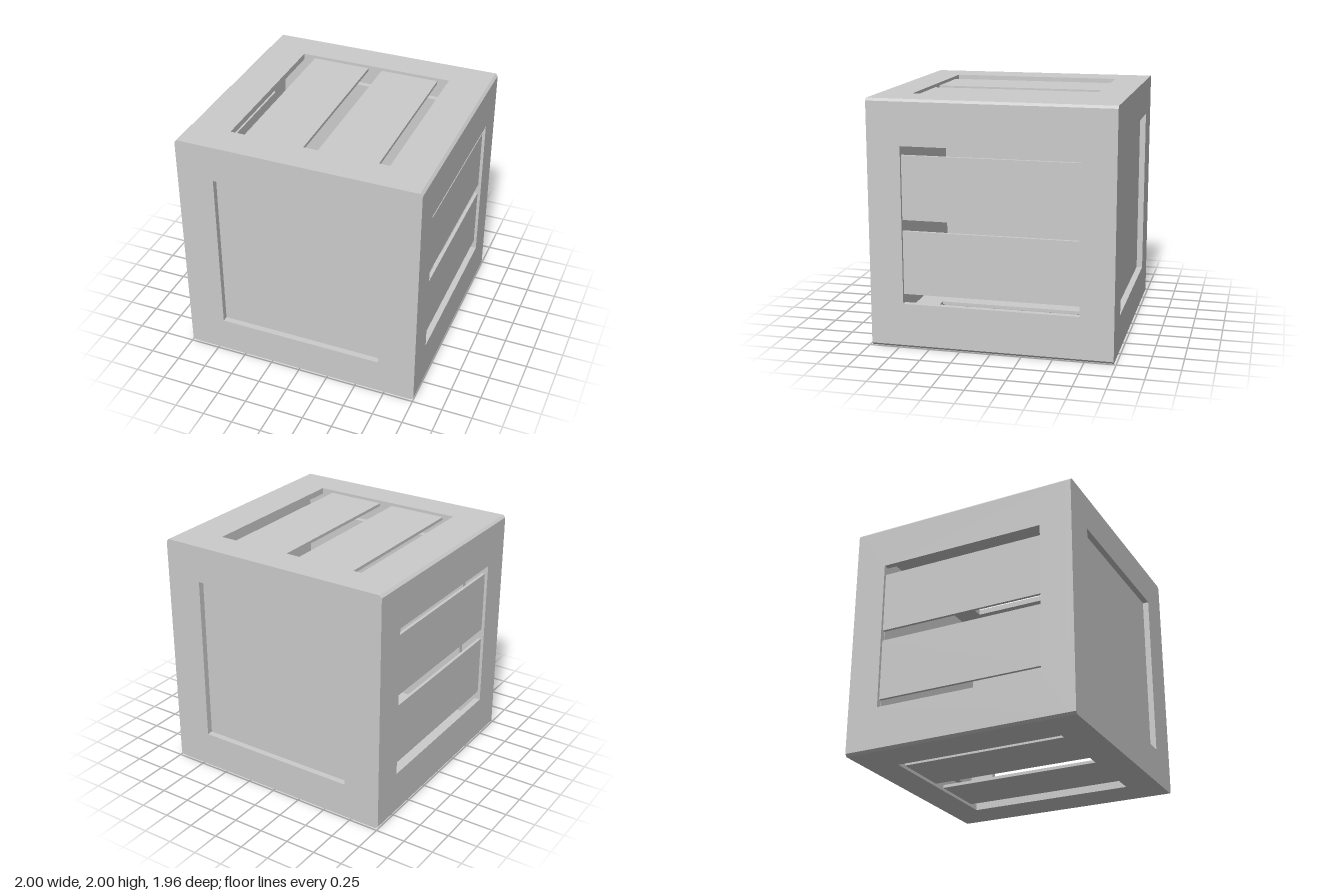
import * as THREE from 'three';

const HALF = 1, DEPTH = 0.98, BEVEL = 0.02, WALL = 0.05;
const mat = new THREE.MeshStandardMaterial({ color: 0xcccccc, flatShading: true });

function mesh(name, geometry) {
  const m = new THREE.Mesh(geometry, mat);
  m.name = name;
  return m;
}

// Rectangular board with cut corners and a window, outer face at z = 0
function frameGeometry(w, h, cut, holeW, holeH) {
  const shape = new THREE.Shape([
    [-w + cut, -h], [w - cut, -h], [w, -h + cut], [w, h - cut],
    [w - cut, h], [-w + cut, h], [-w, h - cut], [-w, -h + cut],
  ].map(([x, y]) => new THREE.Vector2(x, y)));
  shape.holes.push(new THREE.Path([
    [-holeW, -holeH], [-holeW, holeH], [holeW, holeH], [holeW, -holeH],
  ].map(([x, y]) => new THREE.Vector2(x, y))));
  const g = new THREE.ExtrudeGeometry(shape, { depth: WALL, bevelEnabled: false });
  return g.translate(0, 0, -WALL);
}

// Closed end: frame with a recessed panel behind its window
function endFace(name) {
  const face = new THREE.Group();
  face.name = name;
  const panel = mesh('recessedPanel', new THREE.BoxGeometry(1.38, 1.4, 0.05));
  panel.position.z = -0.075;
  face.add(mesh('endFrame', frameGeometry(HALF, HALF, BEVEL, 0.69, 0.7)), panel);
  return face;
}

// Open face: frame with two slats, built facing +z with the slats along y
function slattedFace(name, holeHalf, slatIn, slatOut) {
  const face = new THREE.Group();
  face.name = name;
  const length = 0.71;
  face.add(mesh('slatFrame',
    frameGeometry(HALF - BEVEL, DEPTH - WALL, 0, holeHalf, length)));
  for (const side of [-1, 1]) {
    const slat = mesh('slat', new THREE.BoxGeometry(slatOut - slatIn, length * 2, 0.025));
    slat.position.set(side * (slatIn + slatOut) / 2, 0, -0.0375);
    face.add(slat);
  }
  return face;
}

export function createModel() {
  const crate = new THREE.Group();
  crate.name = 'crate';
  const body = new THREE.Group();
  body.name = 'crateBody';
  body.position.y = HALF;
  crate.add(body);

  // Front and back
  for (const [name, turn] of [['front', 0], ['back', Math.PI]]) {
    const end = endFace(name);
    end.rotation.y = turn;
    end.position.z = turn ? -DEPTH : DEPTH;
    body.add(end);
  }

  // Top, bottom, left and right, turned around the z axis
  const faces = [
    ['top', 0, 0.655, 0.06, 0.555],
    ['right', 1, 0.635, 0.045, 0.56],
    ['bottom', 2, 0.655, 0.06, 0.555],
    ['left', 3, 0.635, 0.045, 0.56],
  ];
  for (const [name, quarter, hole, slatIn, slatOut] of faces) {
    const side = slattedFace(name, hole, slatIn, slatOut);
    side.rotation.x = -Math.PI / 2;
    side.position.y = HALF;

    // Bevelled strip closing the long edge beside each face
    const strip = mesh('edgeBevel', new THREE.ExtrudeGeometry(new THREE.Shape([
      new THREE.Vector2(HALF - BEVEL, HALF - BEVEL),
      new THREE.Vector2(HALF, HALF - BEVEL),
      new THREE.Vector2(HALF - BEVEL, HALF),
    ]), { depth: 2 * (DEPTH - WALL), bevelEnabled: false }));
    strip.position.z = -(DEPTH - WALL);

    const turned = new THREE.Group();
    turned.name = name + 'Side';
    turned.rotation.z = quarter * Math.PI / 2;
    turned.add(side, strip);
    body.add(turned);
  }
  return crate;
}
